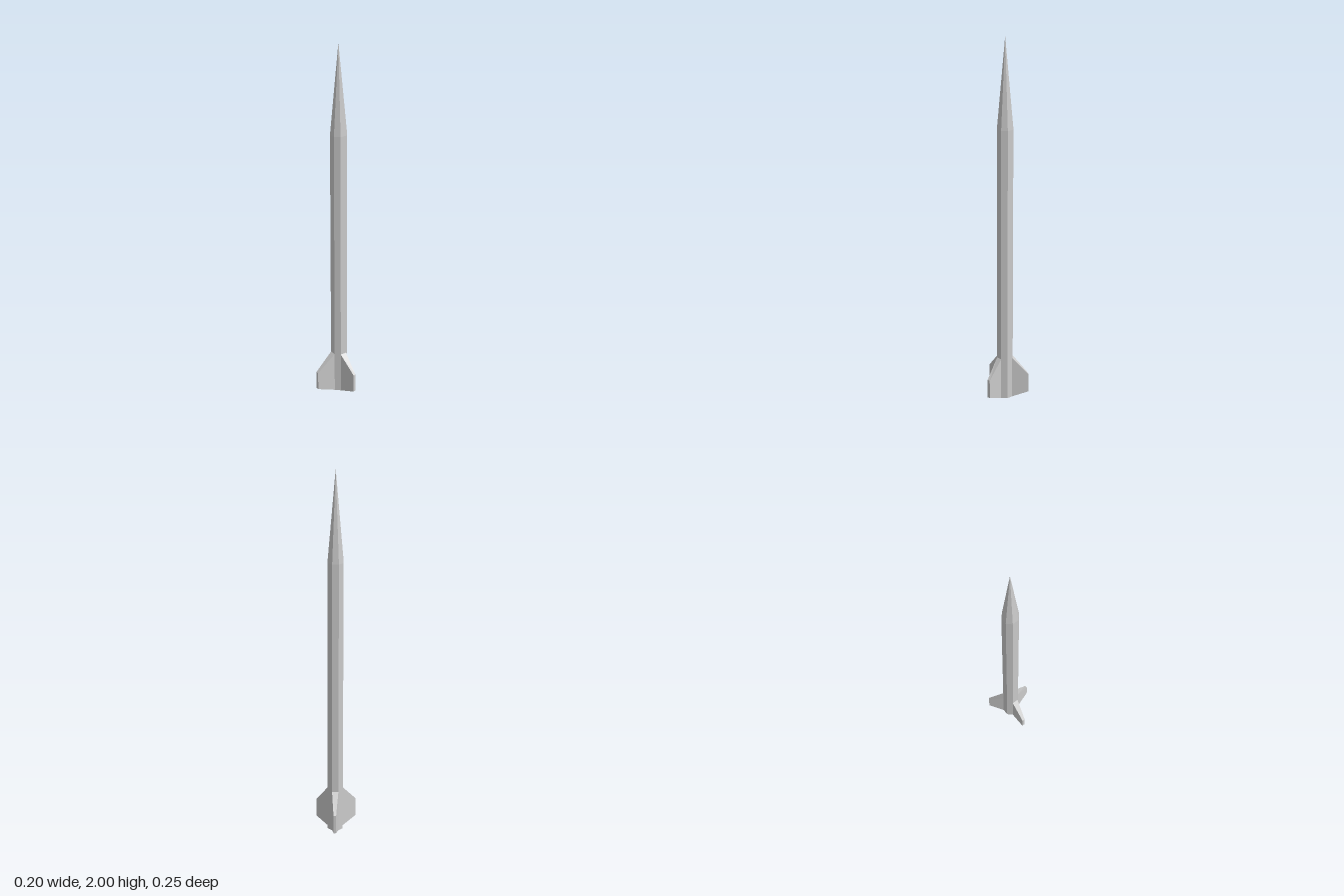
import * as THREE from 'three';

const CX = -0.027, CZ = -0.002, R = 0.045, SIDES = 8;
const SHOULDER = 1.52, TOP = 2;

export function createModel() {
  const group = new THREE.Group();
  const material = new THREE.MeshStandardMaterial({ color: 0xcccccc, flatShading: true });

  const add = (name, geometry, x = 0, y = 0, z = 0) => {
    const mesh = new THREE.Mesh(geometry, material);
    mesh.name = name;
    mesh.position.set(x, y, z);
    group.add(mesh);
  };

  // Octagonal body and pointed nose
  add('body', new THREE.CylinderGeometry(R, R, SHOULDER, SIDES), CX, SHOULDER / 2, CZ);
  add('noseCone', new THREE.ConeGeometry(R, TOP - SHOULDER, SIDES, 1, true), CX, (SHOULDER + TOP) / 2, CZ);

  // Tapered fin growing out of one body facet, from its two tip corners [x, z]
  const finGeometry = (facet, tipA, tipB) => {
    const root = (i) => {
      const a = (i * 2 * Math.PI) / SIDES;
      return [CX + R * Math.cos(a), CZ + R * Math.sin(a)];
    };
    const rootA = root(facet), rootB = root(facet + 1);
    const at = ([x, z], y) => [x, y, z];
    const corners = [
      at(rootA, 0), at(rootB, 0), at(tipA, 0.03), at(tipB, 0.03),
      at(rootA, 0.235), at(rootB, 0.235), at(tipA, 0.135), at(tipB, 0.135),
    ];
    // top, bottom, two sides, tip
    const quads = [[5, 7, 6, 4], [0, 2, 3, 1], [1, 3, 7, 5], [2, 0, 4, 6], [3, 2, 6, 7]];
    const positions = quads.flatMap(([a, b, c, d]) => [a, b, c, a, c, d].flatMap((i) => corners[i]));
    const geometry = new THREE.BufferGeometry();
    geometry.setAttribute('position', new THREE.Float32BufferAttribute(positions, 3));
    geometry.computeVertexNormals();
    return geometry;
  };

  add('leftFin', finGeometry(0, [0.099, 0.027], [0.096, 0.042]));
  add('frontFin', finGeometry(2, [-0.085, 0.124], [-0.1, 0.118]));
  add('backFin', finGeometry(5, [-0.082, -0.12], [-0.069, -0.126]));

  return group;
}
